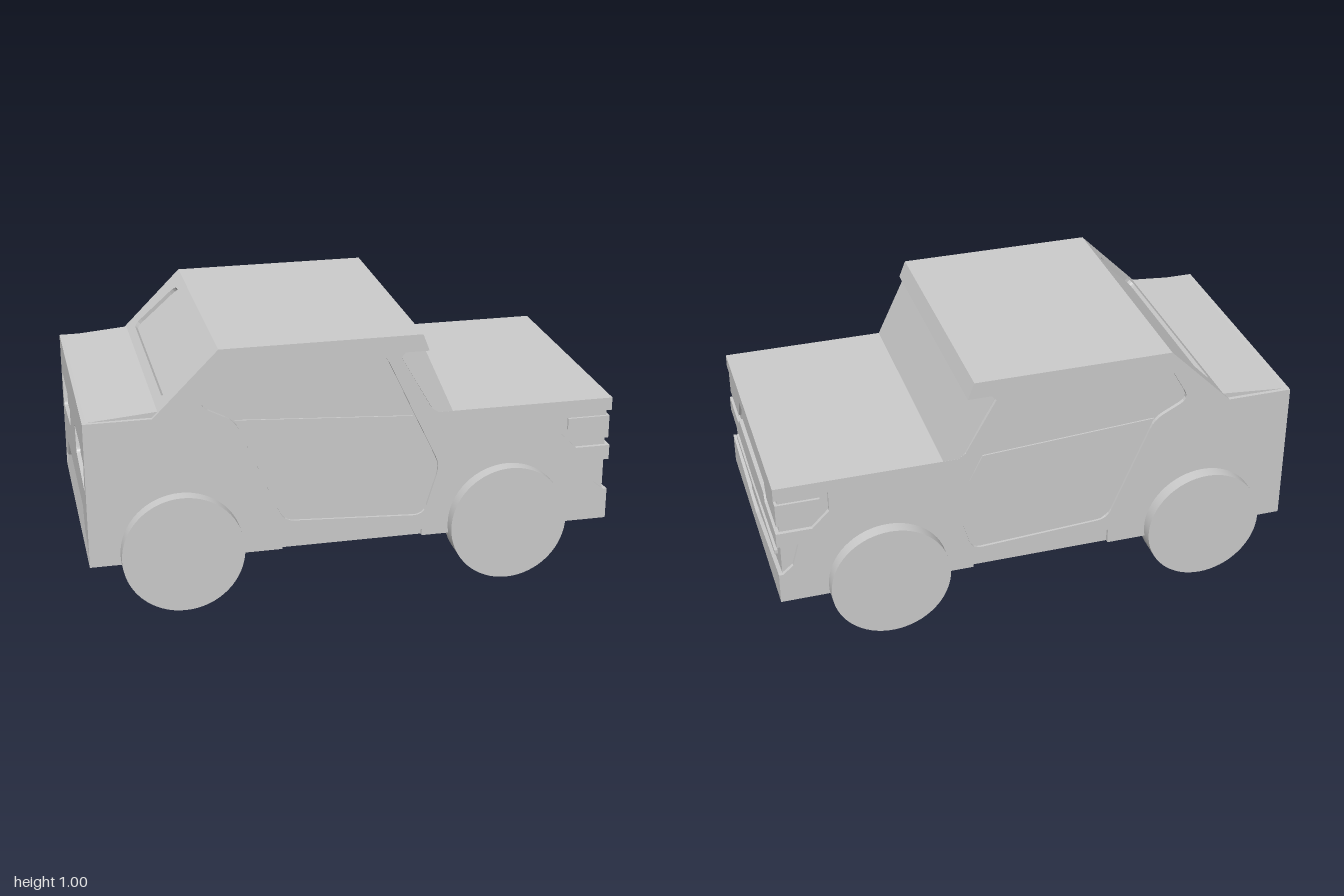
import * as THREE from 'three';

const D = 0.015;          // depth of the recessed details
const W = 0.485;          // half width of the inner body
const L = 0.346;          // length of the sloped rear window plane

const path = (pts, Type = THREE.Shape) => new Type(pts.map(p => new THREE.Vector2(p[0], p[1])));
const mirrorX = pts => pts.map(([x, y]) => [-x, y]).reverse();

function shapeWithHoles(pts, holes = []) {
  const s = path(pts);
  s.holes = holes.map(h => path(h, THREE.Path));
  return s;
}

// Rounds every corner of a closed outline with radius r
function rounded(pts, r) {
  const out = [];
  pts.forEach((p, i) => {
    const v = new THREE.Vector2(...p);
    const toward = q => {
      const d = new THREE.Vector2(...q).sub(v);
      return v.clone().add(d.setLength(Math.min(r, d.length() * 0.4)));
    };
    const a = toward(pts[(i + pts.length - 1) % pts.length]);
    const b = toward(pts[(i + 1) % pts.length]);
    const c = new THREE.QuadraticBezierCurve(a, v, b);
    c.getPoints(4).forEach(k => out.push([k.x, k.y]));
  });
  return out;
}

export function createModel() {
  const model = new THREE.Group();
  const material = new THREE.MeshStandardMaterial({ color: 0xcccccc });

  const add = (name, geometry) => {
    const mesh = new THREE.Mesh(geometry, material);
    mesh.name = name;
    model.add(mesh);
    return mesh;
  };
  const extrude = (pts, depth, holes) =>
    new THREE.ExtrudeGeometry(shapeWithHoles(pts, holes), { depth, bevelEnabled: false });
  // Slab running across the car, showing on both sides
  const across = (name, pts, half) => add(name, extrude(pts, half * 2).translate(0, 0, -half));
  // Panels on the front (+x) and rear (-x) faces, drawn in z and y
  const onFront = (name, pts, depth = D) =>
    add(name, extrude(pts, depth).rotateY(Math.PI / 2).translate(1 - D, 0, 0));

  // Inner body, with a recessed strip behind the rear window frame
  const slope = (t, inset) => [-0.75 + (t + inset) * Math.SQRT1_2, 0.755 + (t - inset) * Math.SQRT1_2];
  across('body', [
    [-1 + D, 0.19], [1 - D, 0.19], [1 - D, 0.69], [0.37, 0.69], [0.262, 0.935], [0.275, 0.935], [0.25, 1],
    slope(L, 0), slope(0.315, 0), slope(0.315, D), slope(0.03, D), slope(0.03, 0), [-1 + D, 0.755],
  ], W);

  // Side skins: door opening as a hole, lamp, vent, sill and pillar cuts in the outline
  const door = rounded([
    [-0.585, 0.79], [-0.5, 0.94], [0.105, 0.94], [0.325, 0.475],
    [0.265, 0.275], [-0.275, 0.305], [-0.45, 0.72],
  ], 0.04);
  const sideOutline = [
    [-1, 0.19], [-0.28, 0.19], [-0.28, 0.25], [0.26, 0.215], [0.26, 0.19], [1, 0.19],
    [1, 0.312], [0.985, 0.312], [0.945, 0.345], [0.92, 0.437], [1, 0.437],
    [1, 0.495], [0.865, 0.495], [0.8, 0.56], [0.8, 0.64], [1, 0.64], [1, 0.69],
    [0.37, 0.69], [0.315, 0.69], [0.285, 0.71], [0.168, 0.915], [0.185, 0.935], [0.275, 0.935], [0.25, 1],
    slope(L, 0), [-0.75, 0.755], [-1, 0.755],
  ];
  for (const z of [W, -W - D]) {
    add(z > 0 ? 'leftSkin' : 'rightSkin', extrude(sideOutline, D, [door]).translate(0, 0, z));
  }

  // Lower door panel, standing slightly proud of the side window
  across('doorPanels', [
    [-0.45, 0.72], [0.218, 0.68], [0.315, 0.49], [0.322, 0.465],
    [0.27, 0.295], [0.245, 0.277], [-0.25, 0.303], [-0.285, 0.33],
  ], W + 0.006);

  // Windscreen corners, tapering out to the body side at the hood
  const corner = across('windscreenCorners',
    [[0.30, 0.69], [0.37, 0.69], [0.262, 0.935], [0.16, 0.935]], W);
  const pos = corner.geometry.attributes.position;
  for (let i = 0; i < pos.count; i++) {
    const out = D * (0.935 - pos.getY(i)) / 0.245;
    pos.setZ(i, Math.sign(pos.getZ(i)) * (W + out * 0.98));
  }
  corner.geometry.computeVertexNormals();

  // Front face bands, leaving the upper and lower grilles recessed
  onFront('hoodEdge', [[-W, 0.64], [W, 0.64], [W, 0.69], [-W, 0.69]]);
  onFront('frontBumper', [
    [-W, 0.437], [0, 0.415], [W, 0.437], [W, 0.495], [0.285, 0.495],
    [0.27, 0.525], [-0.27, 0.525], [-0.285, 0.495], [-W, 0.495],
  ]);
  onFront('frontSkirt', [[-W, 0.19], [W, 0.19], [W, 0.312], [0, 0.26], [-W, 0.312]]);
  onFront('grilleBar', [
    [-0.415, 0.35], [-0.075, 0.342], [-0.075, 0.323], [0.075, 0.323],
    [0.075, 0.342], [0.415, 0.35], [0.415, 0.365], [-0.415, 0.365],
  ], 0.012);

  // Headlamps wrapping round the front corners
  const lamp = [[0.30, 0.525], [0.495, 0.525], [0.495, 0.615], [0.245, 0.615]];
  onFront('rightHeadlamp', lamp, 0.01);
  onFront('leftHeadlamp', mirrorX(lamp), 0.01);
  across('headlampSides',
    [[0.875, 0.525], [1 - D, 0.525], [1 - D, 0.615], [0.83, 0.615], [0.83, 0.57]], 0.495);

  // Rear face with two lamp recesses and a raised cut above the bumper
  const rearLamp = rounded([[0.13, 0.5], [0.445, 0.472], [0.46, 0.612], [0.11, 0.605]], 0.015);
  const rear = extrude([
    [-W, 0.25], [-0.37, 0.28], [-0.32, 0.36], [0.32, 0.36], [0.37, 0.28], [W, 0.25], [W, 0.755], [-W, 0.755],
  ], D, [rearLamp, mirrorX(rearLamp)]);
  add('rearPanel', rear.rotateY(-Math.PI / 2).translate(-1 + D, 0, 0));
  across('rearBumper', [[-1, 0.19], [-1 + D, 0.19], [-1 + D, 0.27]], W);

  // Rear window frame lying on the slope
  const frame = extrude([[-W, 0.03], [W, 0.03], [W, 0.315], [-W, 0.315]], D,
    [rounded([[-0.42, 0.068], [0.42, 0.068], [0.375, 0.304], [-0.375, 0.304]], 0.035)]);
  const k = Math.SQRT1_2;
  frame.translate(0, 0, -D).applyMatrix4(new THREE.Matrix4().makeBasis(
    new THREE.Vector3(0, 0, 1), new THREE.Vector3(k, k, 0), new THREE.Vector3(-k, k, 0)));
  add('rearWindowFrame', frame.translate(-0.75, 0.755, 0));

  // Plain disc wheels
  for (const x of [-0.658, 0.59]) {
    for (const z of [-0.5, 0.5]) {
      const wheel = new THREE.CylinderGeometry(0.228, 0.228, 0.1, 64).rotateX(Math.PI / 2);
      add((x > 0 ? 'front' : 'rear') + 'Wheel', wheel.translate(x, 0.23, z));
    }
  }
  return model;
}
